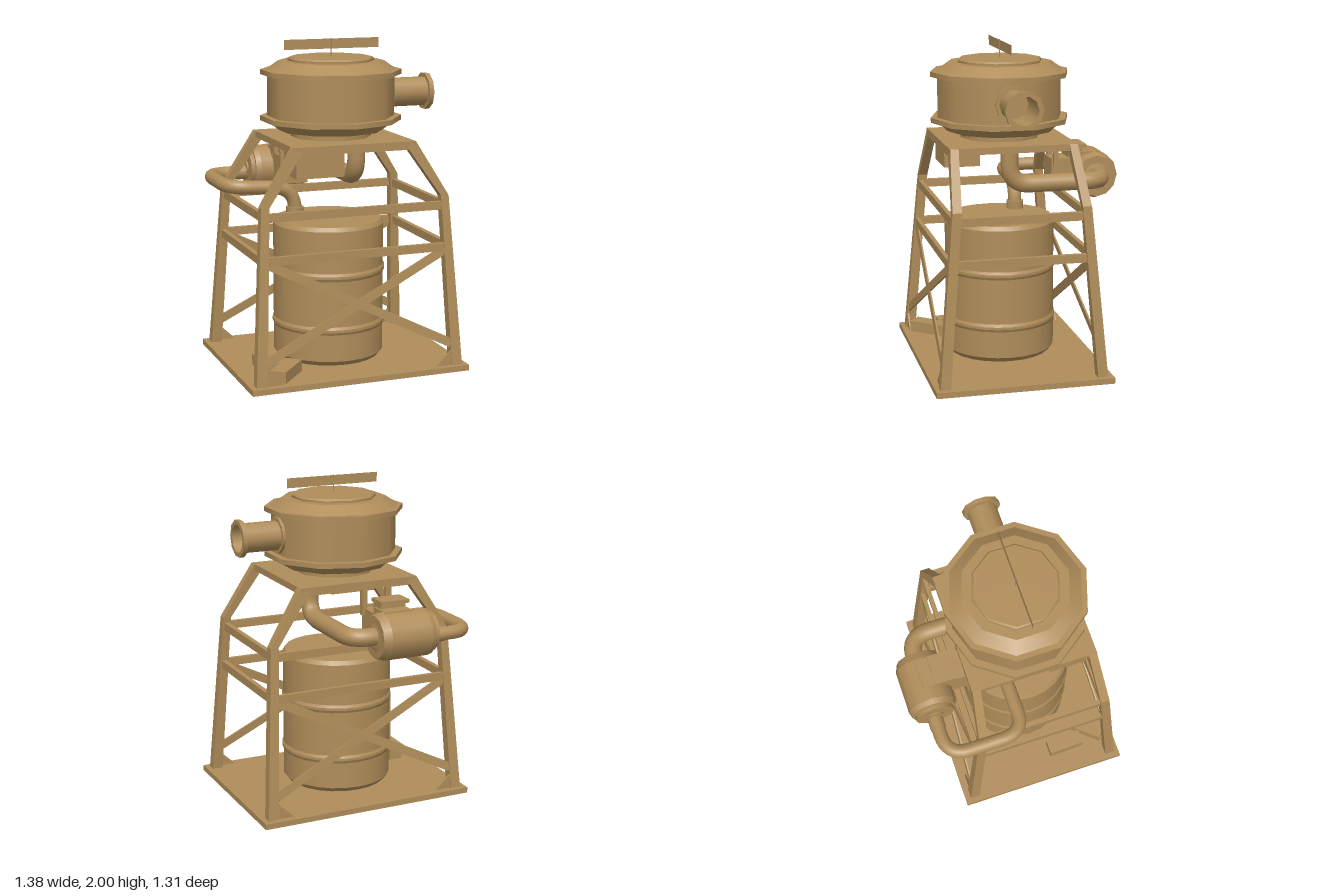
import * as THREE from 'three';
import { toCreasedNormals, mergeGeometries } from 'three/addons/utils/BufferGeometryUtils.js';

const MAT = new THREE.MeshStandardMaterial({ color: 0xb08d5a, side: THREE.DoubleSide });
const V = (x, y, z) => new THREE.Vector3(x, y, z);
const CZ = 0.11; // depth centre of the frame

// Half-width and half-depth of the frame at a height
const halfX = y => y < 1.08 ? 0.656 - 0.066 * (y - 0.035) / 1.045 : 0.59 - 0.205 * (y - 1.08) / 0.33;
const halfZ = y => 0.51 - 0.124 * (y - 0.035) / 1.375;

export function createModel() {
  const root = new THREE.Group();

  function add(name, geo, x = 0, y = 0, z = 0) {
    const m = new THREE.Mesh(geo, MAT);
    m.name = name;
    m.position.set(x, y, z);
    root.add(m);
    return m;
  }

  // Box given by its min and max on each axis
  const box = (name, x0, x1, y0, y1, z0, z1) =>
    add(name, new THREE.BoxGeometry(x1 - x0, y1 - y0, z1 - z0), (x0 + x1) / 2, (y0 + y1) / 2, (z0 + z1) / 2);

  // Flat bar from a to b; n is the direction of its thickness
  function bar(name, a, b, width, depth, n) {
    const dir = b.clone().sub(a);
    const len = dir.length();
    dir.normalize();
    const up = n.clone().cross(dir).normalize();
    const out = dir.clone().cross(up);
    const geo = new THREE.BoxGeometry(len, width, depth);
    geo.applyMatrix4(new THREE.Matrix4().makeBasis(dir, up, out));
    const mid = a.clone().add(b).multiplyScalar(0.5);
    return add(name, geo, mid.x, mid.y, mid.z);
  }

  // Turned shape, smooth around and sharp between the bands of its profile
  function lathe(pts, sides) {
    const p = pts.map(q => new THREE.Vector2(...q));
    return mergeGeometries(p.slice(1).map((q, i) => new THREE.LatheGeometry([p[i], q], sides)));
  }

  // Pipe along straight runs with rounded corners
  function pipe(name, pts, radius, bend) {
    const path = new THREE.CurvePath();
    let from = pts[0];
    for (let i = 1; i < pts.length - 1; i++) {
      const p = pts[i];
      const toward = q => p.clone().add(q.clone().sub(p).setLength(bend));
      const start = toward(pts[i - 1]), end = toward(pts[i + 1]);
      path.add(new THREE.LineCurve3(from, start));
      path.add(new THREE.QuadraticBezierCurve3(start, p, end));
      from = end;
    }
    path.add(new THREE.LineCurve3(from, pts[pts.length - 1]));
    return add(name, new THREE.TubeGeometry(path, 48, radius, 12));
  }

  // Leg lofted through rectangular sections, mirrored by sx and sz
  function leg(sx, sz) {
    const sections = [[0.035, 0.066, 0.062], [1.075, 0.05, 0.055], [1.41, 0.08, 0.05]];
    const pos = [], idx = [];
    for (const [y, w, d] of sections) {
      const x = halfX(y), z = halfZ(y);
      for (const [px, pz] of [[x, z], [x, z - d], [x - w, z - d], [x - w, z]]) pos.push(sx * px, y, CZ + sz * pz);
    }
    for (let s = 0; s < 2; s++) for (let i = 0; i < 4; i++) {
      const a = s * 4 + i, b = s * 4 + (i + 1) % 4;
      if (sx * sz > 0) idx.push(a, b, b + 4, a, b + 4, a + 4);
      else idx.push(a, b + 4, b, a, a + 4, b + 4);
    }
    const geo = new THREE.BufferGeometry();
    geo.setAttribute('position', new THREE.Float32BufferAttribute(pos, 3));
    geo.setIndex(idx);
    add('leg', toCreasedNormals(geo, 0.2));
  }

  // Base sheet with a skirt, open below
  box('basePlate', -0.69, 0.69, 0.027, 0.035, -0.435, 0.65);
  for (const s of [-1, 1]) {
    box('baseSkirt', s * 0.686 - 0.004, s * 0.686 + 0.004, 0, 0.03, -0.435, 0.65);
    box('baseSkirt', -0.69, 0.69, 0, 0.03, 0.1075 + s * 0.5385 - 0.004, 0.1075 + s * 0.5385 + 0.004);
  }

  // Legs, top plate and its rim
  for (const sx of [-1, 1]) for (const sz of [-1, 1]) leg(sx, sz);
  box('topPlate', -0.385, 0.385, 1.385, 1.41, CZ - 0.388, CZ + 0.388);
  for (const s of [-1, 1]) {
    const z = CZ + s * 0.378;
    box('topRim', -0.385, 0.385, 1.36, 1.4, z - 0.01, z + 0.01);
    box('topRim', s * 0.375 - 0.01, s * 0.375 + 0.01, 1.37, 1.4, CZ - 0.388, CZ + 0.388);
  }

  // Rails on all four sides
  for (const y of [0.763, 1.015]) for (const s of [-1, 1]) {
    const x = halfX(y) - 0.025, z = halfZ(y) - 0.016;
    box('rail', -x, x, y - 0.025, y + 0.025, CZ + s * z - 0.013, CZ + s * z + 0.013);
    box('sideRail', s * x - 0.015, s * x + 0.015, y - 0.025, y + 0.025, CZ - z, CZ + z);
  }

  // Cross braces and foot gussets on front and back
  for (const sz of [-1, 1]) for (const sx of [-1, 1]) {
    const lo = V(-sx * 0.59, 0.17, CZ + sz * (halfZ(0.17) - 0.012));
    const hi = V(sx * 0.56, 0.745, CZ + sz * (halfZ(0.745) - 0.012));
    bar('crossBrace', lo, hi, 0.054, 0.01, V(0, 0.09, sz));
    const pts = [[0.6, 0.035], [0.49, 0.035], [0.59, 0.13]].map(p => new THREE.Vector2(sx * p[0], p[1]));
    add('gusset', new THREE.ExtrudeGeometry(new THREE.Shape(pts), { depth: 0.012, bevelEnabled: false }),
      0, 0, CZ + sz * 0.495 - 0.006);
  }

  // Drum with two rolling ribs
  const drum = [[0, 0.05], [0.315, 0.05], [0.34, 0.08]];
  for (const y of [0.27, 0.6]) drum.push([0.34, y - 0.025], [0.348, y - 0.008], [0.348, y + 0.008], [0.34, y + 0.025]);
  drum.push([0.34, 0.88], [0.325, 0.905], [0, 0.905]);
  add('drum', lathe(drum, 24), -0.027, 0, CZ + 0.002);
  add('drumNeck', new THREE.CylinderGeometry(0.055, 0.055, 0.05, 12), -0.195, 0.93, -0.03);

  // Ten-sided filter housing with flanges and lid
  add('housing', lathe([
    [0.245, 1.41], [0.245, 1.45], [0.325, 1.45], [0.385, 1.505], [0.428, 1.505], [0.428, 1.535],
    [0.386, 1.535], [0.386, 1.785], [0.428, 1.785], [0.428, 1.815], [0.395, 1.815], [0.32, 1.867],
    [0.26, 1.867], [0.26, 1.88], [0.25, 1.89], [0, 1.89]], 10), -0.01, 0, CZ);
  add('rod', new THREE.CylinderGeometry(0.003, 0.003, 0.11, 6), -0.01, 1.945, CZ);
  add('topBoard', new THREE.PlaneGeometry(0.605, 0.06), -0.003, 1.967, CZ);

  // Side inlet: hollow flanged pipe
  const inlet = add('inletPipe', lathe([
    [0.08, 0.34], [0.112, 0.34], [0.112, 0.375], [0.09, 0.375], [0.09, 0.598], [0.115, 0.598],
    [0.115, 0.627], [0.087, 0.627], [0.087, 0.37], [0, 0.37]], 10), 0, 1.657, CZ);
  inlet.rotation.z = -Math.PI / 2;

  // Blower lying along x, with its mount and terminal box
  const blower = add('blower', lathe([
    [0, -0.37], [0.05, -0.37], [0.05, -0.36], [0.12, -0.36], [0.12, -0.333], [0.137, -0.333],
    [0.147, -0.3], [0.147, -0.035], [0.13, 0.015], [0.085, 0.015], [0.06, 0.02], [0, 0.02]], 12), 0, 1.128, -0.508);
  blower.rotation.z = -Math.PI / 2;
  box('mountBlock', -0.22, -0.04, 1.06, 1.24, -0.4, -0.23);
  box('saddle', -0.225, -0.045, 1.18, 1.275, -0.53, -0.38);
  box('terminalBox', -0.225, -0.06, 1.24, 1.3, -0.44, -0.345);
  box('terminalCap', -0.24, -0.055, 1.3, 1.322, -0.46, -0.33);
  for (const x of [-0.2, -0.04]) box('hanger', x - 0.018, x + 0.018, 1.2, 1.39, -0.27, -0.24);

  // Pipes: blower to housing, and drum to blower
  pipe('outletPipe', [V(0, 1.135, -0.515), V(0.165, 1.135, -0.515), V(0.165, 1.135, 0.09), V(0.165, 1.39, 0.09)], 0.055, 0.13);
  pipe('drumHose', [V(-0.195, 0.92, -0.03), V(-0.195, 1.075, -0.03), V(-0.622, 1.1, -0.03),
    V(-0.622, 1.1, -0.515), V(-0.34, 1.1, -0.515)], 0.043, 0.14);
  const collar = add('hoseCollar', new THREE.CylinderGeometry(0.047, 0.047, 0.08, 12), -0.4, 1.1, -0.515);
  collar.rotation.z = Math.PI / 2;

  // Control box under the top plate, and two loose blocks on the floor
  box('controlBox', -0.35, -0.05, 1.215, 1.385, 0.225, 0.45);
  box('floorBlock', -0.56, -0.3, 0.04, 0.11, 0.43, 0.53).rotation.y = 0.86;
  box('floorBlock', -0.55, -0.46, 0.04, 0.11, 0.2, 0.43).rotation.y = 0.03;

  return root;
}
